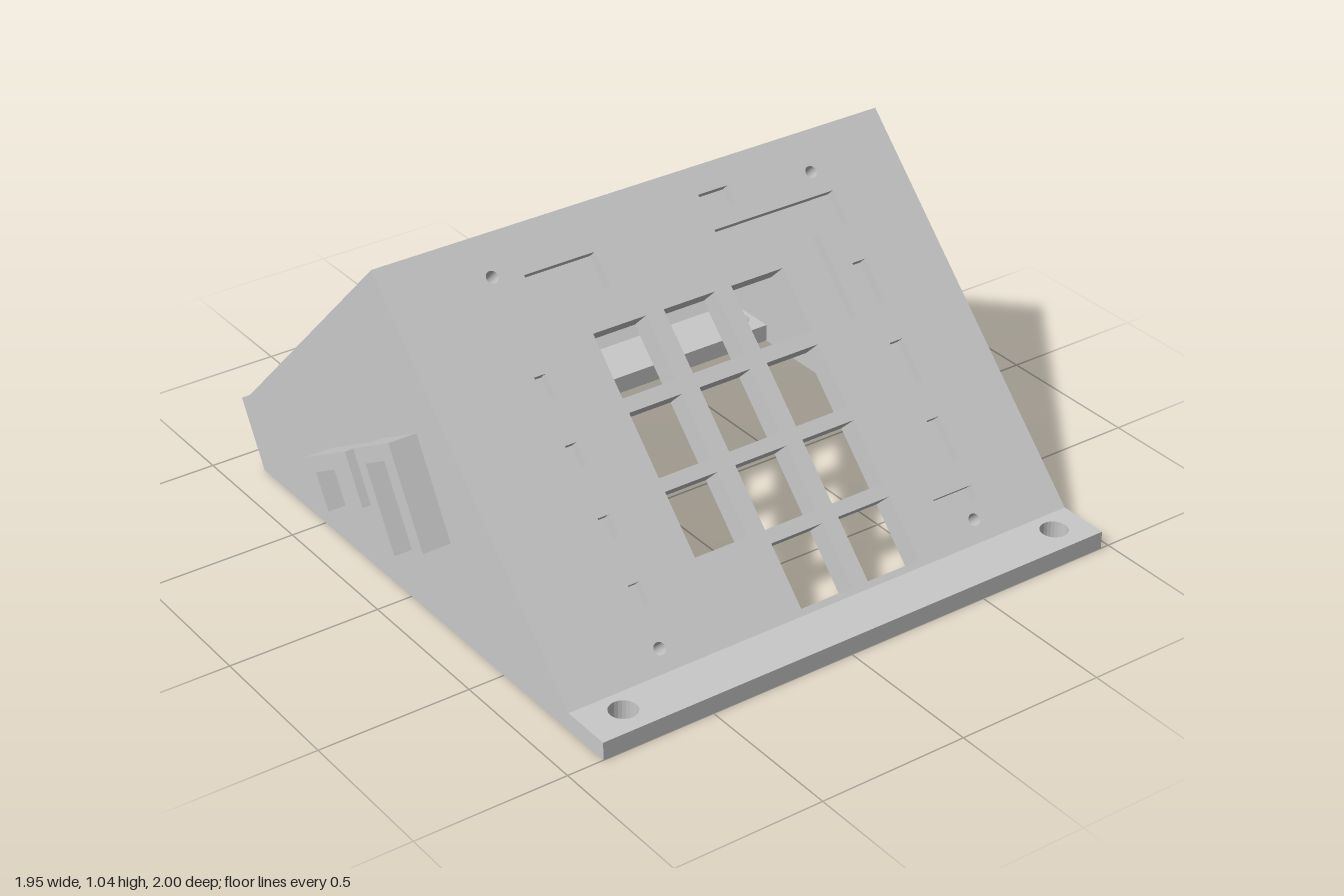
import * as THREE from 'three';

const shell = new THREE.MeshStandardMaterial({ color: 0xc8c8c8 });
shell.name = 'light grey plastic';

const X0 = -0.88, X1 = 0.97, WALL = 0.05;
const IN0 = X0 + WALL, IN1 = X1 - WALL;
const SKIN = 0.035, PANEL = 0.08;

function polygon(points, Type = THREE.Shape) {
  return new Type(points.map(([x, y]) => new THREE.Vector2(x, y)));
}
function rect(x0, y0, x1, y1, Type = THREE.Path) {
  return polygon([[x0, y0], [x1, y0], [x1, y1], [x0, y1]], Type);
}
function circle(x, y, r) {
  return new THREE.Path().absarc(x, y, r, 0, Math.PI * 2, true);
}
function extrude(shape, depth) {
  return new THREE.ExtrudeGeometry(shape, { depth, bevelEnabled: false, curveSegments: 12 });
}

export function createModel() {
  const group = new THREE.Group();
  const add = (name, geometry) => {
    const mesh = new THREE.Mesh(geometry, shell);
    mesh.name = name;
    group.add(mesh);
    return mesh;
  };
  // Extrude a [z, y] outline from x0 to x1
  const across = (name, points, x0, x1) => {
    const g = extrude(polygon(points.map(([z, y]) => [-z, y])), x1 - x0);
    return add(name, g.rotateY(Math.PI / 2).translate(x0, 0, 0));
  };

  // Side walls
  const profile = [[1, 0], [1, 0.06], [0.83, 0.06], [-0.15, 1.04], [-0.96, 0.23], [-1, 0.21], [-0.88, 0]];
  across('rightWall', profile, X0, IN0);
  across('leftWall', profile, IN1, X1);

  // Back slope with its lower return
  across('backPanel', [[-0.15, 1.04], [-0.96, 0.23], [-1, 0.21], [-0.88, 0], [-0.81, 0],
    [-0.81, 0.06], [-0.9, 0.177], [-0.15, 0.927]], IN0, IN1);

  // Front lip and rear flange, each with two screw holes
  for (const [name, z0, z1, holeZ] of [['frontLip', 0.83, 1, 0.905], ['rearFlange', -0.81, -0.62, -0.71]]) {
    const plate = rect(IN0, -z1, IN1, -z0, THREE.Shape);
    for (const x of [-0.745, 0.86]) plate.holes.push(circle(x, -holeZ, 0.045));
    add(name, extrude(plate, 0.06).rotateX(-Math.PI / 2));
  }
  across('lipFillet', [[0.83, 0], [0.83, 0.06], [0.773, 0.003], [0.773, 0]], IN0, IN1);

  // Openings of the sloped panel, given by x and height
  const slope = (y) => (y - 0.06) * Math.SQRT2;
  const slot = (x0, y0, x1, y1) => rect(x0, slope(y0), x1, slope(y1));
  const throughHoles = () => {
    const holes = [];
    const columns = [[-0.3, -0.11], [-0.045, 0.145], [0.205, 0.4]];
    [0.075, 0.255, 0.435, 0.617].forEach((y, row) => {
      columns.forEach(([a, b], col) => {
        if (row > 0 || col > 0) holes.push(slot(a, y, b, y + 0.149));
      });
    });
    for (const x of [-0.53, 0.645]) {
      for (const y of [0.11, 0.947]) holes.push(circle(x, slope(y), 0.02));
    }
    return holes;
  };
  const recesses = [
    slot(-0.43, 0.847, -0.18, 0.93),
    slot(0.235, 0.932, 0.345, 0.977),
    slot(0.54, 0.152, 0.69, 0.182),
    ...[0.2, 0.35, 0.513, 0.668].map((y) => slot(-0.54, y, -0.5, y + 0.052)),
    ...[0.243, 0.43, 0.623].map((y) => slot(0.64, y, 0.69, y + 0.103)),
    polygon([[0.235, 0.813], [0.52, 0.813], [0.52, 0.61], [0.57, 0.61], [0.57, 0.813],
      [0.69, 0.813], [0.69, 0.893], [0.235, 0.893]].map(([x, y]) => [x, slope(y)]), THREE.Path),
  ];

  // Sloped panel: outer skin with recesses, inner layer with through holes only
  const layer = (name, holes, depth, offset) => {
    const shape = rect(IN0, 0, IN1, slope(1.04), THREE.Shape);
    shape.holes.push(...holes);
    const mesh = add(name, extrude(shape, depth).translate(0, 0, offset));
    mesh.rotation.x = -Math.PI / 4;
    mesh.position.set(0, 0.06, 0.83);
  };
  layer('frontPanelSkin', [...throughHoles(), ...recesses], SKIN, -SKIN);
  layer('frontPanelInner', throughHoles(), PANEL - SKIN, -PANEL);

  // Tilted port hoods on the right wall, open below and outward
  const tilt = Math.PI / 6, c = Math.cos(tilt), s = Math.sin(tilt);
  const hood = (name, z, y, length, height, leg) => {
    // a runs back along the top from the front corner, b runs down
    const at = ([a, b]) => [z - a * c + b * s, y - a * s - b * c];
    const outline = [[0, 0], [length, 0], [length, height], [0, height]];
    const arch = [[0, 0], [length, 0], [length, height], [length - leg, height],
      [length - leg, leg], [leg, leg], [leg, height], [0, height]];
    across(name + 'Base', outline.map(at), -0.915, X0);
    across(name + 'Hood', arch.map(at), -0.975, -0.915);
  };
  hood('upperPort', 0.065, 0.6, 0.237, 0.335, 0.05);
  hood('lowerPort', -0.19, 0.445, 0.289, 0.175, 0.05);

  return group;
}
